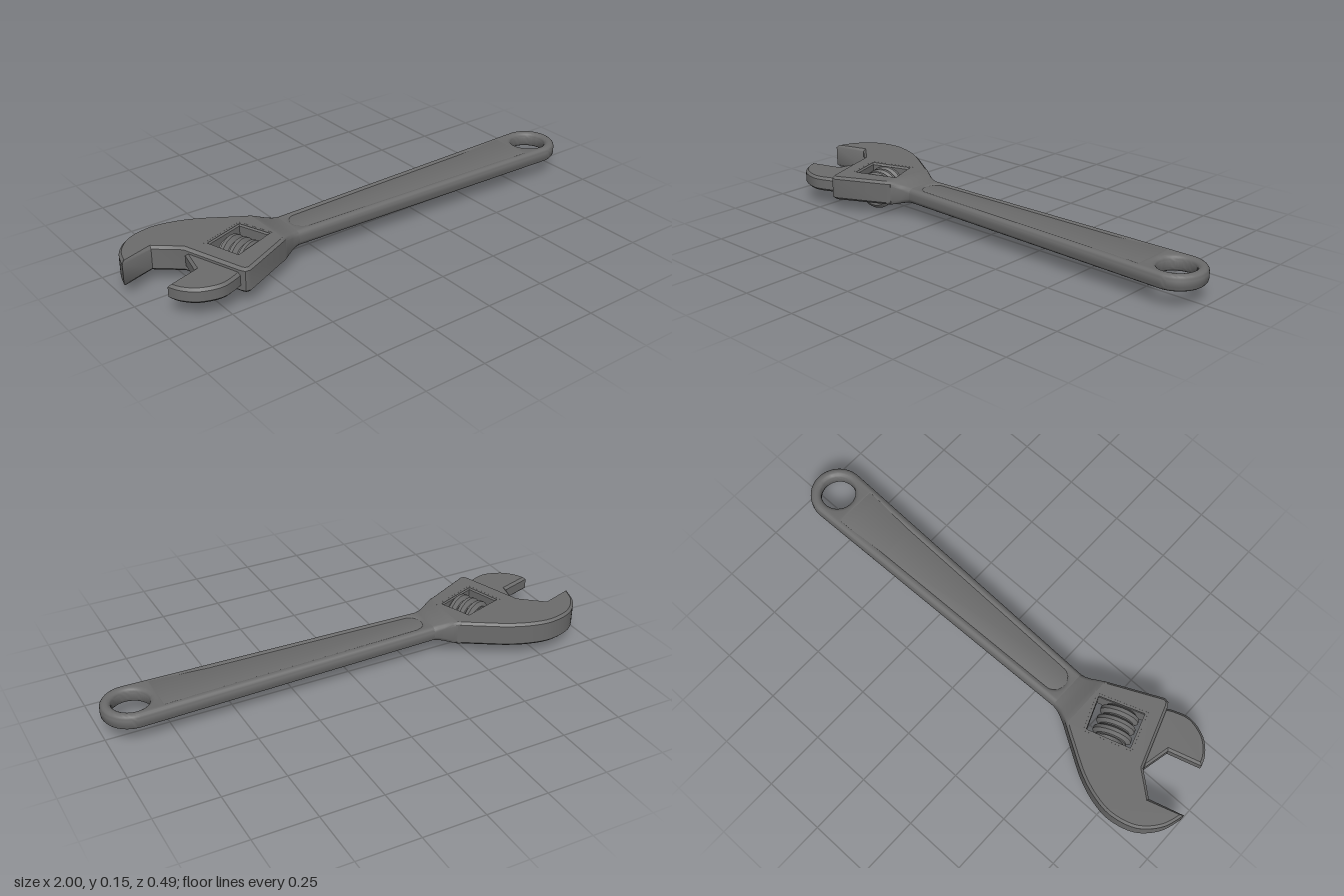
import * as THREE from 'three';
import { toCreasedNormals } from 'three/addons/utils/BufferGeometryUtils.js';

const steel = new THREE.MeshStandardMaterial({ color: 0x6c6c6c });
const MID = 0.1; // height of the tool's middle plane

const v = ([x, z]) => new THREE.Vector2(x, -z);
const spline = (pts, n) => new THREE.SplineCurve(pts.map(v)).getPoints(n);

// Arc in plan view, angles measured towards -z
function arc(cx, cz, r, from, to, n) {
  return Array.from({ length: n + 1 }, (_, i) => {
    const a = from + (to - from) * i / n;
    return new THREE.Vector2(cx + r * Math.cos(a), -cz + r * Math.sin(a));
  });
}

function mesh(name, geometry, crease = 0.6) {
  const m = new THREE.Mesh(toCreasedNormals(geometry, crease), steel);
  m.name = name;
  return m;
}

// Bevelled plate lying flat, centred on the middle plane
function plate(name, outline, holes, thickness, bevel, segments) {
  const shape = new THREE.Shape(outline);
  shape.holes = holes.map(h => new THREE.Path(h));
  const depth = thickness - 2 * bevel;
  const g = new THREE.ExtrudeGeometry(shape, {
    depth, bevelEnabled: bevel > 0, bevelThickness: bevel, bevelSize: bevel,
    bevelOffset: -bevel, bevelSegments: segments,
  });
  g.translate(0, 0, -depth / 2).rotateX(-Math.PI / 2).translate(0, MID, 0);
  return mesh(name, g);
}

// Rounded sections [x, zMin, zMax, halfHeight, cornerRadius] joined along x
function loft(name, sections) {
  const N = 16;
  const rings = sections.map(([x, z0, z1, h, r]) => Array.from({ length: N }, (_, k) => {
    const q = Math.floor(k / 4);
    const a = q * Math.PI / 2 + (k % 4) * Math.PI / 6;
    const y = (q === 0 || q === 3 ? 1 : -1) * (h - r) + r * Math.cos(a);
    const z = (q < 2 ? z1 - r : z0 + r) + r * Math.sin(a);
    return [x, MID + y, z];
  }));
  const pos = [];
  for (let i = 0; i < rings.length - 1; i++) {
    for (let j = 0; j < N; j++) {
      const k = (j + 1) % N;
      const a = rings[i][j], b = rings[i][k], c = rings[i + 1][j], d = rings[i + 1][k];
      pos.push(...a, ...b, ...c, ...b, ...d, ...c);
    }
  }
  const g = new THREE.BufferGeometry();
  g.setAttribute('position', new THREE.Float32BufferAttribute(pos, 3));
  return mesh(name, g);
}

export function createModel() {
  const group = new THREE.Group();

  // Head with the fixed jaw and the window for the worm screw
  const head = [
    ...spline([[-0.44, -0.09], [-0.52, -0.14], [-0.62, -0.2], [-0.71, -0.235], [-0.8, -0.247],
      [-0.9, -0.22], [-0.97, -0.15], [-1, -0.065]], 32),
    ...[[-0.865, -0.105], [-0.775, -0.03], [-0.69, 0.217], [-0.68, 0.233], [-0.66, 0.236], [-0.44, 0.13]].map(v),
  ];
  const window = [[-0.69, -0.005], [-0.52, -0.06], [-0.47, 0.07], [-0.645, 0.134]].map(v);
  group.add(plate('head', head, [window], 0.1, 0.01, 1));

  // Sharp-edged lining of the window
  const centre = v([-0.581, 0.035]);
  const lining = window.map(p => p.clone().sub(centre).multiplyScalar(1.22).add(centre));
  group.add(plate('windowLining', lining, [window], 0.0996, 0, 1));

  // Neck thinning from the head to the handle
  group.add(loft('neck', [
    [-0.46, -0.102, 0.139, 0.05, 0.011],
    [-0.45, -0.096, 0.134, 0.05, 0.012],
    [-0.43, -0.085, 0.125, 0.046, 0.014],
    [-0.4, -0.071, 0.111, 0.038, 0.017],
    [-0.38, -0.064, 0.104, 0.034, 0.019],
    [-0.36, -0.061, 0.101, 0.0312, 0.02],
  ]));

  // Sliding jaw, thinner than the head and let into it
  const jaw = [
    ...[[-0.93, 0.13], [-0.8, 0.09], [-0.775, -0.02], [-0.755, -0.01], [-0.67, 0.205]].map(v),
    ...spline([[-0.71, 0.226], [-0.78, 0.246], [-0.86, 0.224], [-0.91, 0.176], [-0.93, 0.13]], 16).slice(0, -1),
  ];
  group.add(plate('slidingJaw', jaw, [], 0.06, 0.01, 1));

  // Handle rim with the hanging hole and a long recess
  const eye = [0.885, 0.02];
  const outline = [
    v([-0.38, 0.1]),
    ...arc(...eye, 0.113, -Math.PI / 2, Math.PI / 2, 32),
    v([-0.38, -0.06]),
  ];
  const hangHole = arc(...eye, 0.07, 0, Math.PI * 2, 40).slice(0, -1);
  const recess = [
    ...arc(-0.29, 0.02, 0.043, Math.PI / 2, Math.PI * 1.5, 16),
    ...[[0.77, 0.089], [0.77, -0.049]].map(v),
  ];
  group.add(plate('handle', outline, [hangHole, recess], 0.062, 0.02, 4));

  // Floor of the recess on both faces, rising to the rim before the hole
  group.add(loft('handleWeb', [
    [-0.345, -0.03, 0.07, 0.027, 0.002],
    [0.55, -0.057, 0.097, 0.027, 0.002],
    [0.74, -0.064, 0.104, 0.0308, 0.002],
    [0.785, -0.066, 0.106, 0.0308, 0.002],
  ]));

  // Ridged worm screw, bored through
  const profile = [[0.05, -0.065], [0.062, -0.065]];
  for (const c of [-0.041, 0, 0.041]) {
    profile.push([0.061, c - 0.018], [0.0775, c - 0.007], [0.0775, c + 0.007], [0.061, c + 0.018]);
  }
  profile.push([0.062, 0.065], [0.05, 0.065], [0.05, -0.065]);
  const worm = mesh('wormScrew',
    new THREE.LatheGeometry(profile.map(p => new THREE.Vector2(...p)), 40), 0.4);
  worm.quaternion.setFromUnitVectors(new THREE.Vector3(0, 1, 0), new THREE.Vector3(0.35, 0, 0.94).normalize());
  worm.position.set(-0.583, 0.0775, 0.047);
  group.add(worm);

  return group;
}
